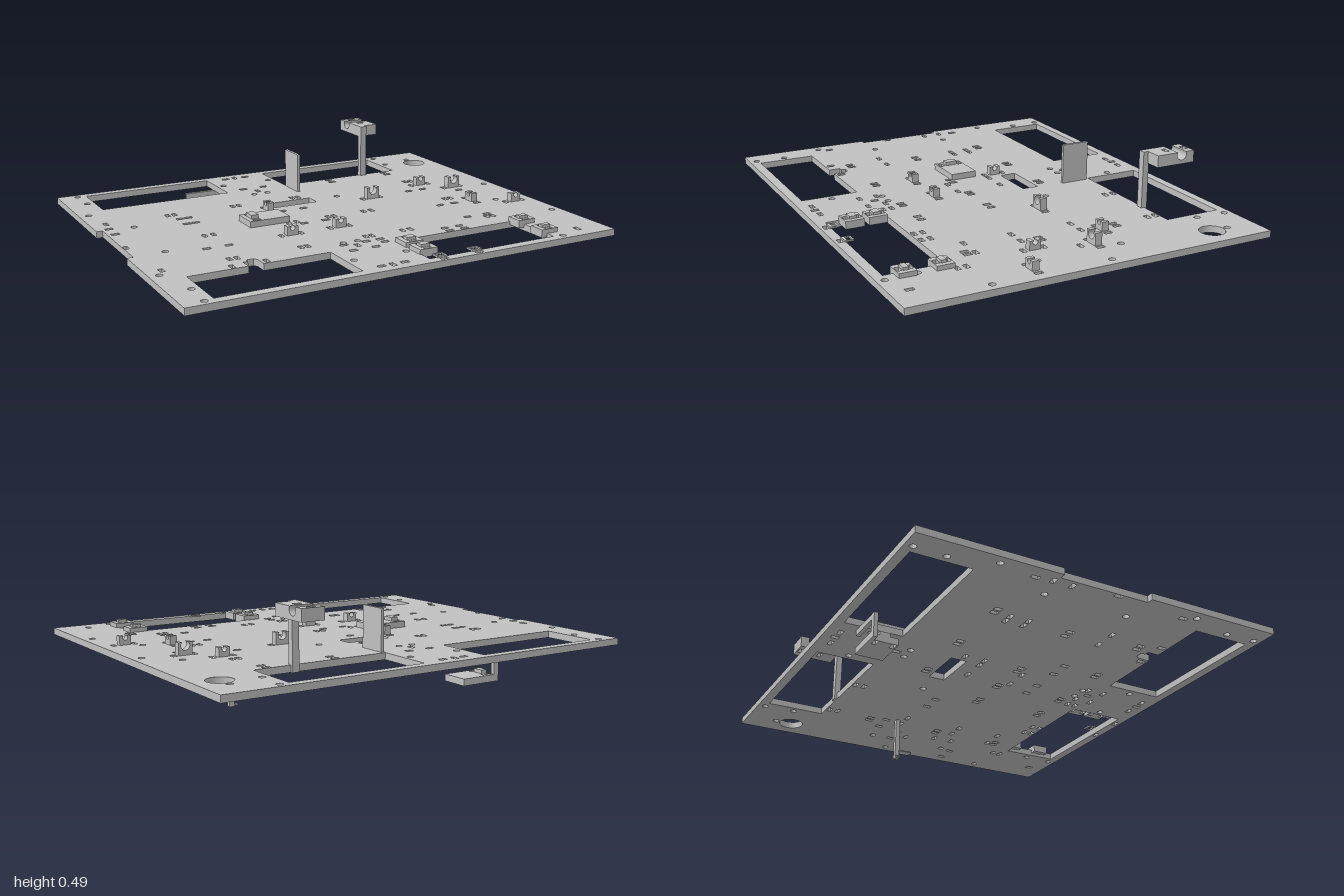
import * as THREE from 'three';

const TOP = 0.23, BOTTOM = 0.2;

// Plan outlines are [x, z] in hundredths of a unit
const toVec = ([x, z]) => new THREE.Vector2(x / 100, -z / 100);
const rect = (x0, z0, x1, z1) => [[x0, z0], [x1, z0], [x1, z1], [x0, z1]].map(toVec);
const slotX = (x, z) => rect(x - 1.8, z - 1, x + 1.8, z + 1);
const slotZ = (x, z) => rect(x - 1, z - 1.8, x + 1, z + 1.8);
const round = (x, z, r, n = 14) => Array.from({ length: n }, (_, i) => {
  const a = (i / n) * Math.PI * 2;
  return toVec([x + r * Math.cos(a), z + r * Math.sin(a)]);
});

export function createModel() {
  const model = new THREE.Group();
  const grey = new THREE.MeshStandardMaterial({ color: 0xc0c0c0 });
  grey.name = 'plain grey';

  function add(name, geometry) {
    const mesh = new THREE.Mesh(geometry, grey);
    mesh.name = name;
    model.add(mesh);
    return mesh;
  }
  // Flat plate with holes, lying between heights y0 and y1
  // (outline turned anticlockwise so that the hole walls face inwards)
  function slab(name, outline, y0, y1, holes = []) {
    const shape = new THREE.Shape([...outline].reverse());
    holes.forEach((h) => shape.holes.push(new THREE.Path(h)));
    const g = new THREE.ExtrudeGeometry(shape, { depth: y1 - y0, bevelEnabled: false });
    g.rotateX(-Math.PI / 2).translate(0, y0, 0);
    return add(name, g);
  }
  function box(name, x0, x1, y0, y1, z0, z1) {
    const g = new THREE.BoxGeometry(x1 - x0, y1 - y0, z1 - z0);
    g.translate((x0 + x1) / 2, (y0 + y1) / 2, (z0 + z1) / 2);
    return add(name, g);
  }

  // Small clips: x, z, large, turned
  const clips = [
    [-19.8, -15.8, false, true], [32.6, -11.2, true, false], [66.3, -21.4, false, false],
    [78.2, -10, true, false], [72.2, 14.7, false, true], [-27.5, 22.6, false, false],
    [-3.8, 22.6, false, false], [89.5, 25, false, false],
  ];

  // Large openings of the base plate
  const holes = [
    rect(-87, -78.5, -24.4, -52.3),
    rect(6.6, -78.5, 69.7, -52.3),
    rect(6.6, 52, 69.7, 78.2),
    rect(-15.7, -25.2, 6.2, -17.7),
    [[-87, 52], [-61, 52], [-61, 46.7], [-58.8, 46.7], [-58.8, 44.6], [-55.6, 44.6],
      [-54.5, 46.4], [-54.5, 52], [-24.4, 52], [-24.4, 78.2], [-87, 78.2]].map(toVec),
    round(88.8, -61, 5.6, 32),
  ];
  // Rows of slots: z, then every x
  const rowsX = [
    [-76.5, -15, -4.2], [-54.6, -15, -4.2], [-50.6, 30.5, 63], [-46.6, 30.5, 63],
    [-21.6, -94, -61, -57], [-13.1, -94, -61, -57, 55, 63], [-11, -15, -4.2],
    [-3.6, 78], [10.7, -15, -4.2], [15, 54.5, 62.5], [23.7, -67, -57], [36.8, 54.5, 65],
    [46.3, -15, -4.2, 2.6, 35.6, 43.2, 76.1], [50.3, 2.6, 35.6, 43.2, 76.1],
    [54.4, -15, -4.2], [76.6, -15, -4.2], [80.1, 12.2, 29.3],
  ];
  const rowsZ = [
    [-76.8, -10], [-48.6, -10], [-29, -93, -64.2, -61, -32, -28.9, -1, 2, 63, 66],
    [7, -96, -61, -57, -21, -17, -1, 2, 17.5, 21.5, 62.5, 65.6],
    [40.5, -93, -64.2, -61, -32, -28.9, -1, 2, 17.5, 21.5, 62.5, 65.6],
    [49.2, -67, -52, -10], [77, -10], [74.3, 86],
  ];
  rowsX.forEach(([z, ...xs]) => xs.forEach((x) => holes.push(slotX(x, z))));
  rowsZ.forEach(([z, ...xs]) => xs.forEach((x) => holes.push(slotZ(x, z))));
  clips.forEach(([x, z, , turned]) => [-4.7, 4.7].forEach((d) => {
    holes.push(turned ? slotX(x, z + d) : slotZ(x + d, z));
  }));
  // Round screw holes: z, then every x
  [[-79.1, -91, 74], [-65.2, -90.4, -21, 3.5, 73.2], [-68.7, 88.8], [-45.8, -95.7],
    [-43.8, -14, -7], [-21.8, 19.5], [-19.3, -83.4, 83.4], [-7, 95.7], [19.2, -83.4, 83.4],
    [40.3, 21], [45.5, -95.7, 95.7], [43.9, -14, -7], [65.3, -90.4, -21, 3.5, 73.2],
    [79.1, -91, 74],
  ].forEach(([z, ...xs]) => xs.forEach((x) => holes.push(round(x, z, 1.45))));

  // Base plate with a shallow recess in one edge
  slab('basePlate', [[-100, -82.5], [100, -82.5], [100, 82.5], [-100, 82.5],
    [-100, 20], [-97.3, 20], [-97.3, -20.3], [-100, -20.3]].map(toVec), BOTTOM, TOP, holes);

  // U-shaped clips with a round seat
  function clipGeometry(large) {
    const [w, h, r] = large ? [0.032, 0.055, 0.02] : [0.026, 0.04, 0.011];
    const s = new THREE.Shape();
    s.moveTo(-w, 0);
    s.lineTo(w, 0);
    s.lineTo(w, h);
    s.lineTo(r * 0.707, h);
    s.absarc(0, h - r * 0.707, r, Math.PI / 4, Math.PI * 0.75, true);
    s.lineTo(-w, h);
    return new THREE.ExtrudeGeometry(s, { depth: 0.032, bevelEnabled: false, curveSegments: 10 })
      .translate(0, 0, -0.016);
  }
  clips.forEach(([x, z, large, turned]) => {
    const clip = add('smallClip', clipGeometry(large));
    clip.position.set(x / 100, TOP, z / 100);
    if (turned) clip.rotation.y = Math.PI / 2;
  });

  // Upright panel
  box('uprightPanel', 0.064, 0.078, TOP, 0.415, -0.51, -0.378);

  // Tall post carrying a grooved arm with two slots
  box('tallPost', 0.495, 0.527, BOTTOM, 0.485, -0.535, -0.507);
  slab('armTip', rect(49.5, -71.8, 60, -68), 0.432, 0.485, [slotX(54.7, -70)]);
  slab('armRoot', rect(49.5, -63, 60, -53), 0.432, 0.485, [slotX(54.7, -60.5)]);
  const groove = new THREE.Shape();
  groove.moveTo(0.63, 0.432);
  groove.lineTo(0.68, 0.432);
  groove.lineTo(0.68, 0.485);
  groove.lineTo(0.6758, 0.485);
  groove.absarc(0.655, 0.473, 0.024, Math.PI / 6, Math.PI * 5 / 6, true);
  groove.lineTo(0.63, 0.485);
  add('armGroove', new THREE.ExtrudeGeometry(groove, { depth: 0.105, bevelEnabled: false })
    .rotateY(Math.PI / 2).translate(0.495, 0, 0));

  // Hanging bracket: open frame, shelf and bump
  box('bracketSide', -0.39, -0.365, 0.09, BOTTOM, -0.715, -0.697);
  box('bracketTopRail', -0.365, -0.2, 0.175, BOTTOM, -0.715, -0.697);
  box('bracketBottomRail', -0.365, -0.2, 0.09, 0.12, -0.715, -0.697);
  slab('bracketShelf', rect(-36, -69.7, -20, -59.2), 0.09, 0.12,
    [slotX(-34, -68.65), slotX(-34, -60.8)]);
  box('bracketBump', -0.36, -0.33, 0.12, 0.136, -0.675, -0.628);

  // Raised seat on the plate
  slab('raisedSeat', rect(-39, -6.4, -19.8, 6.1), TOP, 0.258,
    [slotX(-35.2, -4.7), slotX(-35.2, 4.4)]);
  box('raisedSeatBump', -0.37, -0.335, 0.258, 0.275, -0.03, 0.026);

  // Hanging post with thin feet
  box('hangingPost', 0.59, 0.612, 0, BOTTOM, -0.173, -0.152);
  box('hangingPostFoot', 0.57, 0.612, 0.032, 0.037, -0.155, -0.097);
  box('hangingPostToe', 0.57, 0.59, 0.003, 0.009, -0.173, -0.152);

  // Slotted holders along the front opening
  [[6, 52.9, 61.4], [6, 63.5, 72], [66.8, 50.6, 58.3], [66.8, 66.3, 73.9]].forEach(([x, z0, z1]) => {
    const mid = x + 4.3;
    slab('edgeHolder', rect(x, z0, x + 8.6, z1), 0.215, 0.25,
      [slotX(mid, z0 + 1.4), slotX(mid, z1 - 1.4)]);
    box('edgeHolderBump', (mid - 2.2) / 100, (mid + 2.2) / 100, 0.25, 0.262,
      (z0 + 2.6) / 100, (z1 - 2.6) / 100);
  });

  // Thin slotted tabs at the front edge
  [12.2, 29.3].forEach((x) => {
    slab('frontTab', rect(x - 2.4, 74.8, x + 2.4, 78.8), TOP, 0.237, [slotX(x, 76.6)]);
  });

  return model;
}
